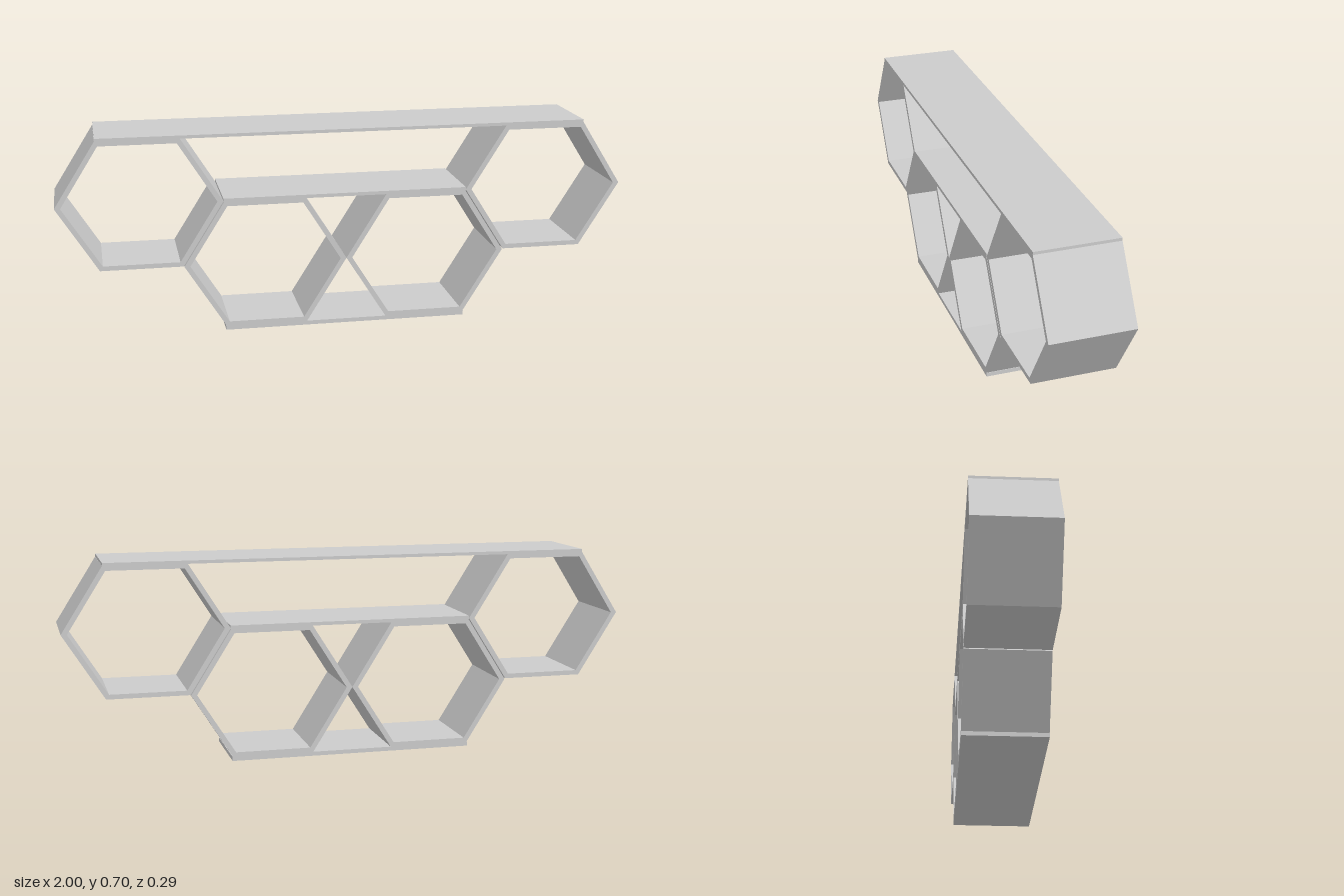
import * as THREE from 'three';

const DEPTH = 0.286;
const HALF_W = 0.285, HALF_H = 0.226; // outer size of one hexagonal cell
const INNER = 0.928;                  // opening size relative to the outside

// Six corners of a flat-topped hexagon
function hexagon(scale) {
  const w = HALF_W * scale, h = HALF_H * scale;
  return [[w, 0], [w / 2, h], [-w / 2, h], [-w, 0], [-w / 2, -h], [w / 2, -h]]
    .map(([x, y]) => new THREE.Vector2(x, y));
}

export function createModel() {
  const group = new THREE.Group();
  const material = new THREE.MeshStandardMaterial({ color: 0xcccccc, flatShading: true });

  // Open hexagonal tube shared by all four cells
  const outline = new THREE.Shape(hexagon(1));
  outline.holes.push(new THREE.Path(hexagon(INNER).reverse()));
  const cellGeometry = new THREE.ExtrudeGeometry(outline, { depth: DEPTH, bevelEnabled: false });
  cellGeometry.translate(0, 0, -DEPTH / 2);

  const addCell = (name, x, y) => {
    const cell = new THREE.Mesh(cellGeometry, material);
    cell.name = name;
    cell.position.set(x, y, 0);
    group.add(cell);
  };

  // Flat boards that tie the cells together
  const addBoard = (name, halfWidth, bottom, top) => {
    const board = new THREE.Mesh(
      new THREE.BoxGeometry(halfWidth * 2, top - bottom, DEPTH), material);
    board.name = name;
    board.position.y = (bottom + top) / 2;
    group.add(board);
  };

  // Two raised outer cells and two lower inner cells, mirrored
  for (const [side, s] of [['left', 1], ['right', -1]]) {
    addCell(side + 'UpperCell', s * 0.715, 0.468);
    addCell(side + 'LowerCell', s * 0.285, 0.24);
  }

  addBoard('topBoard', 0.857, 0.693, 0.704);
  addBoard('middleShelf', 0.43, 0.465, 0.477);
  addBoard('bottomBoard', 0.43, 0, 0.0145);

  return group;
}
